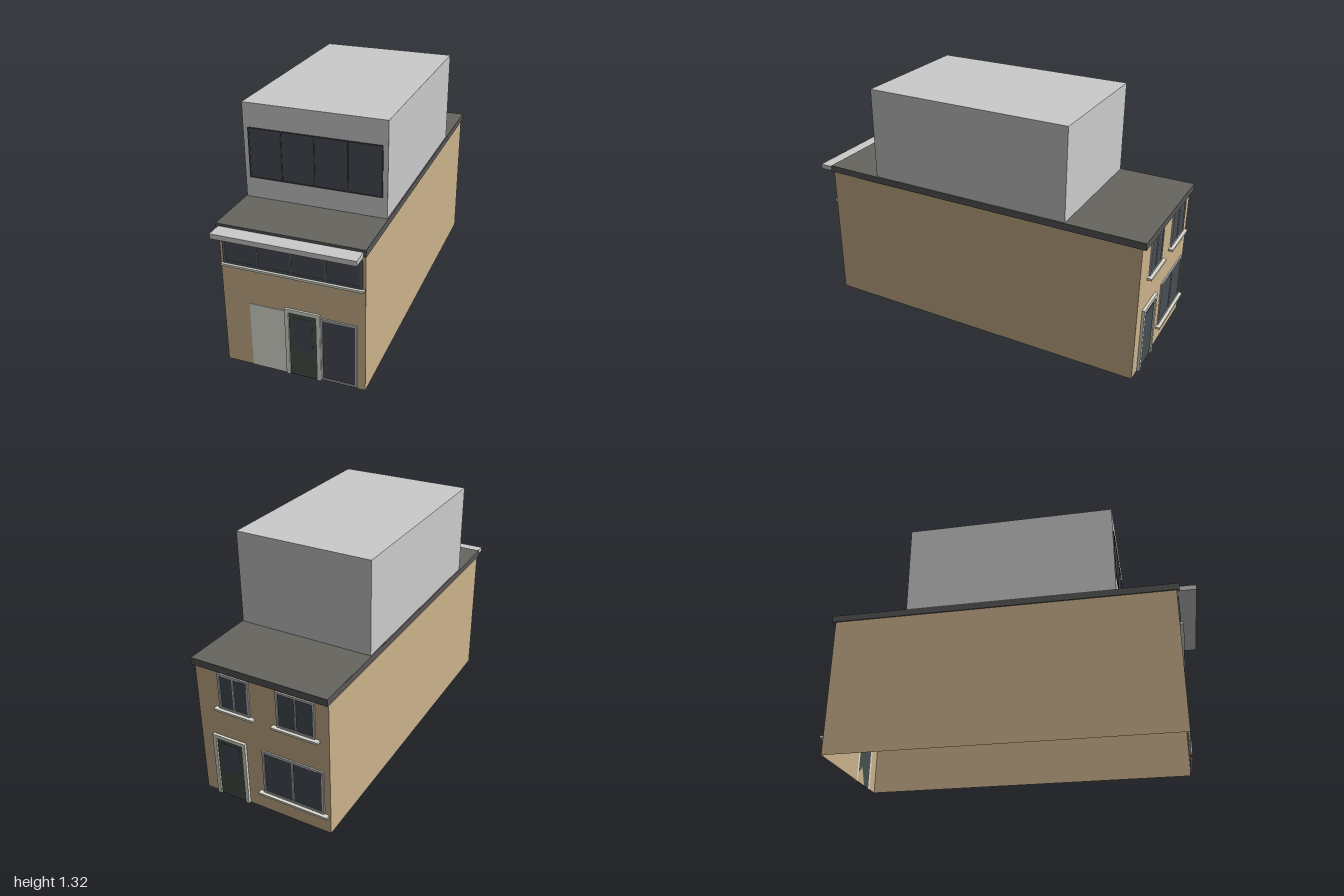
import * as THREE from 'three';

const mat = (color, side = THREE.FrontSide) => new THREE.MeshStandardMaterial({ color, side });
const M = {
  grey: mat(0xcccccc),
  wall: mat(0xcbb28c, THREE.DoubleSide),
  roof: mat(0x676560),
  fascia: mat(0x585858),
  glass: mat(0x474c54),
  door: mat(0x465049),
  trim: mat(0xdcddd2),
  panel: mat(0xe3e3da),
  frame: mat(0xb8bab8),
  darkFrame: mat(0x585d62),
  blackFrame: mat(0x36393d),
};

// Box given by its limits on each axis
function box(name, material, [x0, x1], [y0, y1], [z0, z1]) {
  const mesh = new THREE.Mesh(new THREE.BoxGeometry(x1 - x0, y1 - y0, z1 - z0), material);
  mesh.position.set((x0 + x1) / 2, (y0 + y1) / 2, (z0 + z1) / 2);
  mesh.name = name;
  return mesh;
}

function rectPath(path, x0, x1, y0, y1) {
  path.moveTo(x0, y0);
  path.lineTo(x1, y0);
  path.lineTo(x1, y1);
  path.lineTo(x0, y1);
  path.closePath();
  return path;
}

// Framed window standing on the wall plane z = 0, split into equal panes
function windowUnit(name, [x0, x1], [y0, y1], { panes = 1, border = 0.012, bar = 0.008, depth = 0.008, frame = M.frame, sill = null }) {
  const group = new THREE.Group();
  group.name = name;
  const shape = rectPath(new THREE.Shape(), x0, x1, y0, y1);
  const w = (x1 - x0 - 2 * border - (panes - 1) * bar) / panes;
  for (let i = 0; i < panes; i++) {
    const a = x0 + border + i * (w + bar);
    shape.holes.push(rectPath(new THREE.Path(), a, a + w, y0 + border, y1 - border));
  }
  const surround = new THREE.Mesh(new THREE.ExtrudeGeometry(shape, { depth, bevelEnabled: false }), frame);
  surround.name = 'windowFrame';
  group.add(surround);
  const inset = border / 2;
  group.add(box('windowGlass', M.glass, [x0 + inset, x1 - inset], [y0 + inset, y1 - inset], [0, depth * 0.5]));
  if (sill) group.add(box('windowSill', M.trim, [x0 - sill.over, x1 + sill.over], [y0 - 0.01, y0 + 0.002], [0, sill.depth]));
  return group;
}

// Door leaf with a glazed upper part inside a three-sided surround
function doorUnit(name, [x0, x1], height, border, depth) {
  const group = new THREE.Group();
  group.name = name;
  const shape = new THREE.Shape();
  [[x0, 0], [x0 + border, 0], [x0 + border, height - border], [x1 - border, height - border],
    [x1 - border, 0], [x1, 0], [x1, height], [x0, height]]
    .forEach(([x, y], i) => (i ? shape.lineTo(x, y) : shape.moveTo(x, y)));
  const surround = new THREE.Mesh(new THREE.ExtrudeGeometry(shape, { depth, bevelEnabled: false }), M.trim);
  surround.name = 'doorFrame';
  group.add(surround);
  group.add(box('doorLeaf', M.door, [x0 + border, x1 - border], [0, height - border], [0, depth * 0.4]));
  group.add(box('doorGlass', M.glass, [x0 + border + 0.022, x1 - border - 0.022], [0.155, height - border - 0.025], [0, depth * 0.5]));
  return group;
}

export function createModel() {
  const model = new THREE.Group();
  model.name = 'house';

  // Main walls: four sheets, open underneath
  const walls = new THREE.Group();
  walls.name = 'walls';
  const depth = 1.875, height = 0.775, midZ = -0.0375;
  for (let i = 0; i < 4; i++) {
    const end = i % 2 === 0;
    const sheet = new THREE.Mesh(new THREE.PlaneGeometry(end ? 0.76 : depth, height), M.wall);
    sheet.rotation.y = (i * Math.PI) / 2;
    const s = i < 2 ? 1 : -1;
    sheet.position.set(end ? 0 : s * 0.38, height / 2, midZ + (end ? (s * depth) / 2 : 0));
    sheet.name = 'wall';
    walls.add(sheet);
  }
  model.add(walls);

  // Flat roof with dark edge, attic block and front canopy
  model.add(box('roofEdge', M.fascia, [-0.386, 0.386], [0.772, 0.808], [-0.995, 0.915]));
  model.add(box('roofTop', M.roof, [-0.385, 0.385], [0.8, 0.81], [-0.994, 0.914]));
  model.add(box('atticBlock', M.grey, [-0.38, 0.38], [0.81, 1.32], [-0.565, 0.59]));
  model.add(box('canopy', M.grey, [-0.372, 0.372], [0.77, 0.797], [0.9, 1]));

  // Attic window
  const attic = new THREE.Group();
  attic.name = 'atticFront';
  attic.position.z = 0.59;
  attic.add(windowUnit('atticWindow', [-0.355, 0.355], [0.92, 1.192], { panes: 4, border: 0.007, bar: 0.007, depth: 0.005, frame: M.blackFrame }));
  model.add(attic);

  // Front openings
  const front = new THREE.Group();
  front.name = 'frontOpenings';
  front.position.z = 0.9;
  front.add(windowUnit('upperFrontWindow', [-0.364, 0.366], [0.588, 0.746],
    { panes: 4, border: 0.014, bar: 0.008, depth: 0.007, frame: M.darkFrame, sill: { over: 0.009, depth: 0.02 } }));
  front.add(box('palePanel', M.panel, [-0.235, -0.04], [0, 0.375], [0, 0.003]));
  front.add(doorUnit('frontDoor', [-0.042, 0.147], 0.395, 0.021, 0.011));
  front.add(windowUnit('lowerFrontWindow', [0.147, 0.34], [0.01, 0.376], { border: 0.01 }));
  model.add(front);

  // Back openings, turned to face -z so local x is mirrored
  const back = new THREE.Group();
  back.name = 'backOpenings';
  back.rotation.y = Math.PI;
  back.position.z = -0.975;
  const sill = { over: 0.024, depth: 0.025 };
  back.add(doorUnit('backDoor', [-0.303, -0.104], 0.378, 0.021, 0.015));
  back.add(windowUnit('upperBackWindowLeft', [-0.245, -0.064], [0.55, 0.755], { panes: 2, sill }));
  back.add(windowUnit('upperBackWindowRight', [0.091, 0.306], [0.55, 0.755], { panes: 2, sill }));
  back.add(windowUnit('lowerBackWindow', [-0.008, 0.346], [0.11, 0.373], { panes: 2, sill }));
  model.add(back);

  return model;
}
